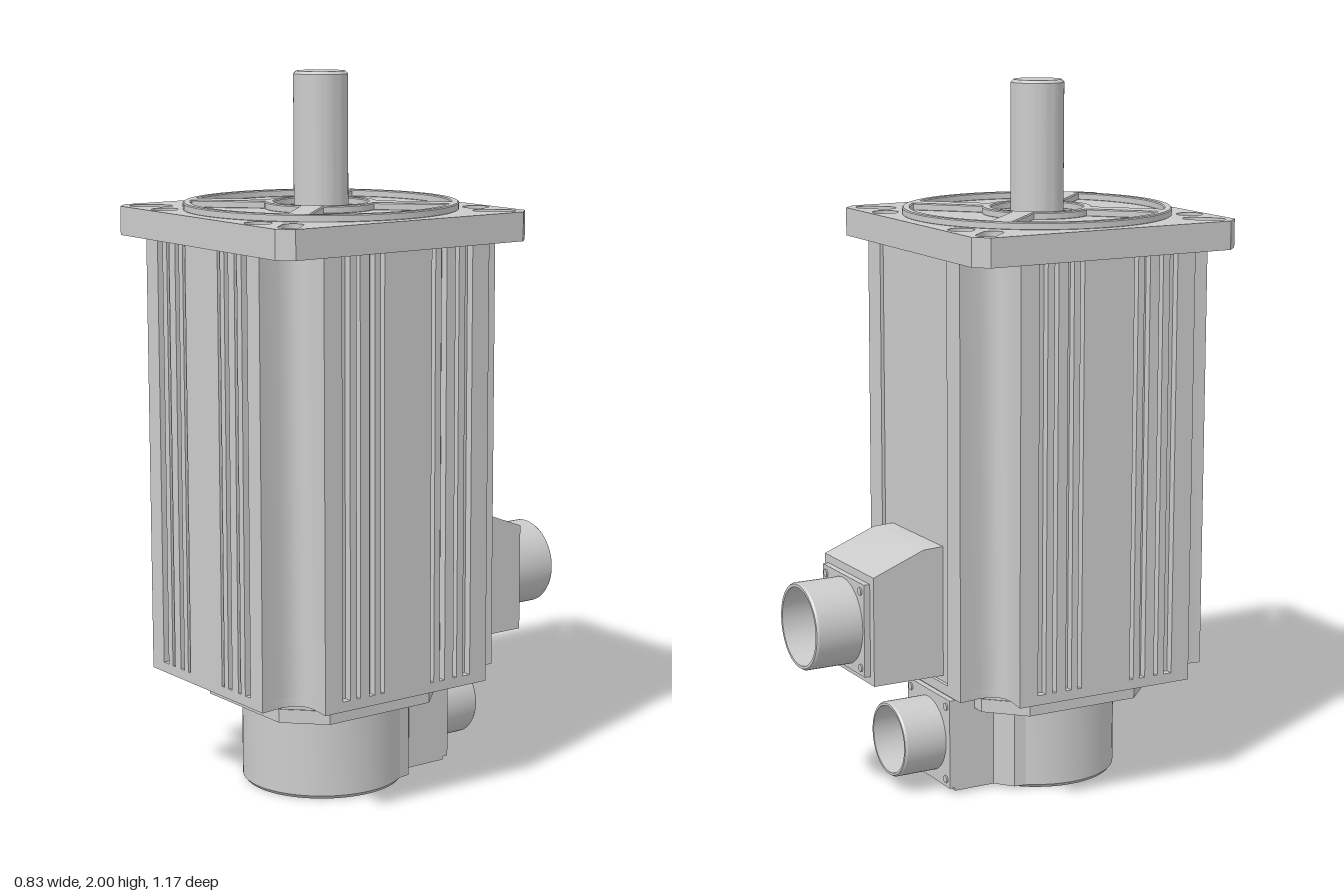
import * as THREE from 'three';
import { toCreasedNormals } from 'three/addons/utils/BufferGeometryUtils.js';

const material = new THREE.MeshStandardMaterial({ color: 0xcccccc });
const V = (x, y) => new THREE.Vector2(x, y);

function add(parent, name, geometry, x = 0, y = 0, z = 0) {
  const mesh = new THREE.Mesh(toCreasedNormals(geometry, 0.55), material);
  mesh.name = name;
  mesh.position.set(x, y, z);
  parent.add(mesh);
  return mesh;
}

// Flat outline extruded upwards; outline +y points to the back (-z)
function slab(shape, height, bevel = 0) {
  const g = new THREE.ExtrudeGeometry(shape, {
    depth: height - 2 * bevel, curveSegments: 32, bevelEnabled: bevel > 0,
    bevelThickness: bevel, bevelSize: bevel, bevelOffset: -bevel, bevelSegments: 1,
  });
  g.translate(0, 0, bevel);
  return g.rotateX(-Math.PI / 2);
}

const lathe = (points, segments = 56) =>
  new THREE.LatheGeometry(points.map(([r, y]) => V(r, y)), segments);

const circle = (x, y, r) => new THREE.Path().absarc(x, y, r, 0, Math.PI * 2, true);

function chamferedSquare(h, c) {
  return new THREE.Shape([
    V(h, -h + c), V(h, h - c), V(h - c, h), V(-h + c, h),
    V(-h, h - c), V(-h, -h + c), V(-h + c, -h), V(h - c, -h),
  ]);
}

// Housing outline: four sides with a scooped notch at each corner
function housingShape(detailed) {
  const grooves = [[0.205, 0.025], [0.165, 0.012], [0.12, 0.018], [0.085, 0.012]];
  const e = 0.395, points = [];
  for (let k = 0; k < 4; k++) {
    const side = [[e, 0.275], [0.33, 0.266], [0.3, 0.27], [0.282, 0.282], [0.27, 0.3], [0.266, 0.33], [0.275, e]];
    if (detailed && k === 0) {
      // Plain back panel, slightly recessed
      side.push([0.2, e], [0.2, e - 0.01], [-0.2, e - 0.01], [-0.2, e]);
    } else if (detailed) {
      const all = [...grooves, ...grooves.map(([x, w]) => [-x, w]).reverse()];
      for (const [x, w] of all) {
        side.push([x + w / 2, e], [x + w / 2, e - 0.022], [x - w / 2, e - 0.022], [x - w / 2, e]);
      }
    }
    for (const [x, y] of side) points.push(V(x, y).rotateAround(V(0, 0), k * Math.PI / 2));
  }
  return new THREE.Shape(points);
}

// Mounting flange with diagonal slots and screw holes
function flangeShape(screwRadius) {
  const s = chamferedSquare(0.415, 0.038);
  s.holes.push(circle(0, 0, 0.105));
  for (const sx of [1, -1]) for (const sy of [1, -1]) {
    s.holes.push(circle(sx * 0.227, sy * 0.364, screwRadius));
    const a = Math.atan2(sy, sx), q = Math.PI / 2;
    const slot = new THREE.Path();
    slot.absarc(sx * 0.36, sy * 0.36, 0.029, a - q, a + q, false);
    slot.absarc(sx * 0.317, sy * 0.317, 0.029, a + q, a + 3 * q, false);
    s.holes.push(slot);
  }
  return s;
}

// Pilot disc with four sunken sectors between diagonal ribs
function pilotShape() {
  const s = new THREE.Shape().absarc(0, 0, 0.38, 0, Math.PI * 2, false);
  s.holes.push(circle(0, 0, 0.13));
  const ri = 0.155, ro = 0.357, w = 0.032;
  const ai = Math.PI / 4 - Math.asin(w / ri), ao = Math.PI / 4 - Math.asin(w / ro);
  for (let k = 0; k < 4; k++) {
    const m = k * Math.PI / 2, p = new THREE.Path();
    p.absarc(0, 0, ro, m - ao, m + ao, false);
    p.absarc(0, 0, ri, m + ai, m - ai, true);
    p.closePath();
    s.holes.push(p);
  }
  return s;
}

// Square plate, four screws and an open round socket pointing to the back
function connector(name, half, radius, y, z, plate, length) {
  const g = new THREE.Group();
  g.name = name;
  g.position.set(0, y, z);
  add(g, 'connectorPlate', new THREE.BoxGeometry(half * 2, half * 2, plate), 0, 0, -plate / 2);
  const r = radius, t = r * 0.1;
  const socket = lathe([
    [r, 0], [r, length - 0.006], [r - 0.004, length], [r - t, length],
    [r - t, 0.025], [0, 0.025],
  ]).rotateX(-Math.PI / 2);
  add(g, 'connectorSocket', socket, 0, 0, -plate);
  for (const sx of [1, -1]) for (const sy of [1, -1]) {
    const c = half * 0.83;
    add(g, 'plateScrew', new THREE.CylinderGeometry(0.011, 0.011, 0.006, 16).rotateX(Math.PI / 2),
      sx * c, sy * c, -plate - 0.001);
  }
  return g;
}

export function createModel() {
  const model = new THREE.Group();
  model.name = 'servoMotor';

  // Parts centred on the shaft axis
  const axis = new THREE.Group();
  axis.name = 'motorAxis';
  axis.position.z = 0.17;
  model.add(axis);

  add(axis, 'housing', slab(housingShape(true), 1.2), 0, 0.345);
  add(axis, 'housingEndCap', slab(housingShape(false), 0.028), 0, 0.32);
  add(axis, 'flangeLower', slab(flangeShape(0.019), 0.05), 0, 1.545);
  add(axis, 'flangeUpper', slab(flangeShape(0.037), 0.03), 0, 1.595);
  add(axis, 'pilotDisc', slab(pilotShape(), 0.022, 0.003), 0, 1.623);

  // Shaft with bearing seal rings
  add(axis, 'shaft', lathe([[0, 1.55], [0.075, 1.55], [0.075, 1.992], [0.067, 2], [0, 2]]));
  add(axis, 'shaftSeal', lathe([[0.07, 1.59], [0.105, 1.59], [0.105, 1.615], [0.098, 1.62], [0.085, 1.62], [0.082, 1.605], [0.07, 1.605]]));

  // Stepped plates and round encoder cover underneath
  add(axis, 'adapterPlate', slab(chamferedSquare(0.27, 0.09), 0.038), 0, 0.285);
  add(axis, 'adapterPlateLower', slab(chamferedSquare(0.272, 0.1), 0.038), 0, 0.245);
  add(axis, 'encoderCover', lathe([[0, 0], [0.222, 0], [0.23, 0.01], [0.23, 0.25], [0, 0.25]], 64));

  // Encoder connector housing, blended towards the round cover
  const neck = new THREE.Shape([
    V(0.19, 0.1), V(0.18, 0.17), V(0.13, 0.21), V(0.13, 0.335),
    V(-0.13, 0.335), V(-0.13, 0.21), V(-0.18, 0.17), V(-0.19, 0.1),
  ]);
  add(axis, 'encoderNeck', slab(neck, 0.24), 0, 0.008);
  add(axis, 'encoderNeckTop', new THREE.BoxGeometry(0.26, 0.075, 0.13), 0, 0.2825, -0.27);
  model.add(connector('encoderConnector', 0.13, 0.108, 0.147, -0.165, 0.017, 0.128));

  // Power connector block with a sloping top
  const profile = new THREE.Shape([
    V(0.21, 0.365), V(0.43, 0.365), V(0.43, 0.675), V(0.275, 0.735), V(0.21, 0.738),
  ]);
  const block = new THREE.ExtrudeGeometry(profile, { depth: 0.31, bevelEnabled: false });
  add(model, 'powerConnectorBlock', block.translate(0, 0, -0.155).rotateY(Math.PI / 2));
  model.add(connector('powerConnector', 0.132, 0.123, 0.52, -0.43, 0.018, 0.137));

  return model;
}
